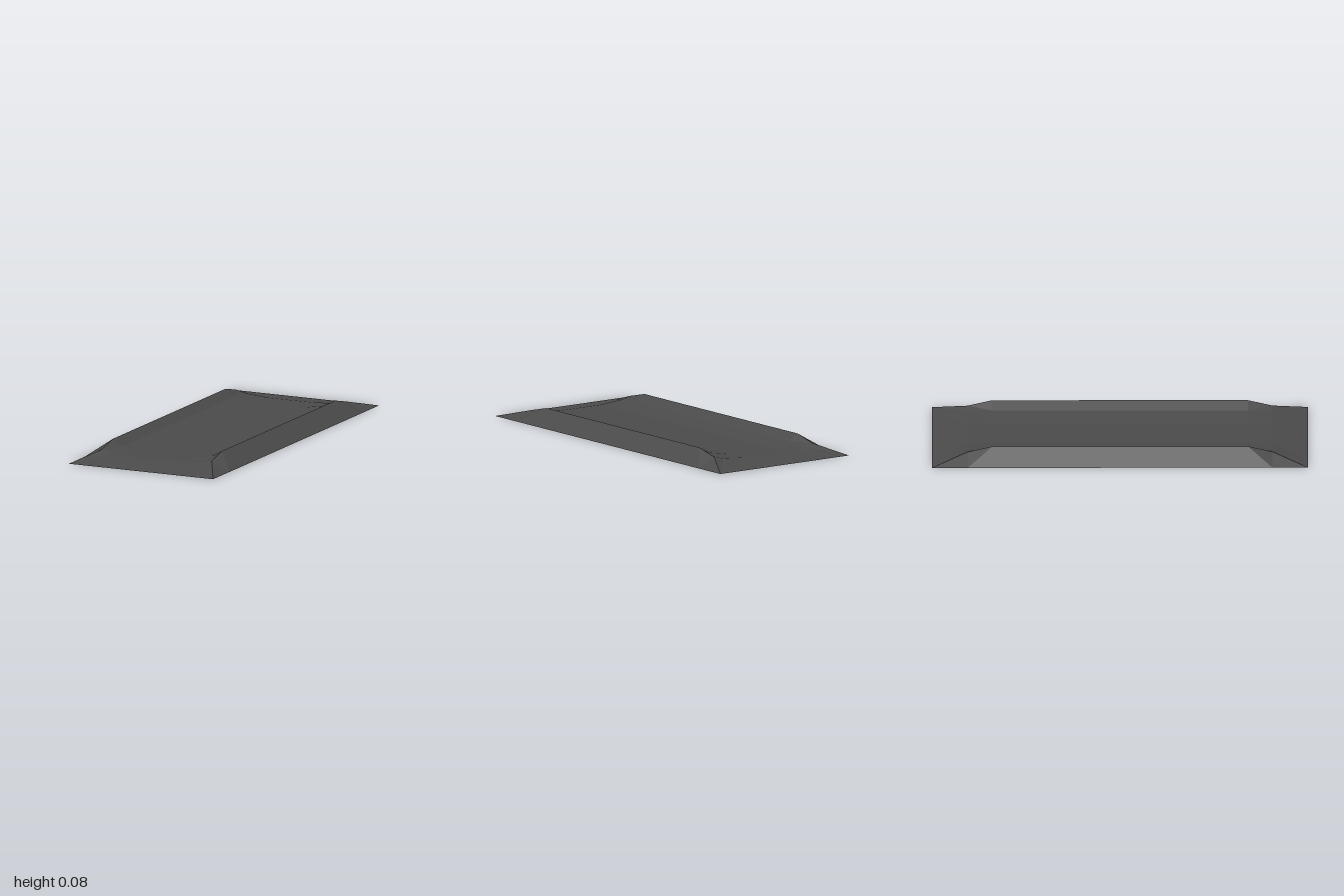
import * as THREE from 'three';

const rubber = new THREE.MeshStandardMaterial({ color: 0x4a4a4a, flatShading: true });
rubber.name = 'dark grey';

// Half cross-sections as [x, y], from the outer edge to the middle floor
const tip = [[0.427, 0], [0.427, 0], [0.35, 0], [0.18, 0]];
const shoulder = [[0.427, 0], [0.325, 0.05], [0.265, 0.036], [0.137, 0.025]];
const ridge = [[0.427, 0], [0.325, 0.081], [0.265, 0.047], [0.137, 0.025]];

const sections = [
  [-1, tip], [-0.81, shoulder], [-0.68, ridge],
  [0.68, ridge], [0.81, shoulder], [1, tip],
];

// Mirror a half section into a full row running from -x to +x
function fullRow([z, half]) {
  const left = half.map(([x, y]) => new THREE.Vector3(-x, y, z));
  const right = half.map(([x, y]) => new THREE.Vector3(x, y, z)).reverse();
  return [...left, ...right];
}

// Skin neighbouring rows, skipping triangles that collapse at the corners
function loft(rows) {
  const positions = [];
  const tri = (a, b, c) => {
    if (new THREE.Triangle(a, b, c).getArea() < 1e-7) return;
    for (const p of [a, b, c]) positions.push(p.x, p.y, p.z);
  };
  for (let i = 0; i < rows.length - 1; i++) {
    const back = rows[i], front = rows[i + 1];
    for (let j = 0; j < back.length - 1; j++) {
      // Diagonals mirror about both centre planes
      if ((i < 2) === (j < 3)) {
        tri(back[j], front[j], front[j + 1]);
        tri(back[j], front[j + 1], back[j + 1]);
      } else {
        tri(back[j], front[j], back[j + 1]);
        tri(front[j], front[j + 1], back[j + 1]);
      }
    }
  }
  const geometry = new THREE.BufferGeometry();
  geometry.setAttribute('position', new THREE.Float32BufferAttribute(positions, 3));
  geometry.computeVertexNormals();
  return geometry;
}

export function createModel() {
  const group = new THREE.Group();
  group.name = 'ridgedTray';

  // Dished top with raised side ridges and ramped ends
  const top = new THREE.Mesh(loft(sections.map(fullRow)), rubber);
  top.name = 'dishedTop';
  group.add(top);

  // Flat underside
  const underside = new THREE.Mesh(new THREE.PlaneGeometry(0.854, 2).rotateX(Math.PI / 2), rubber);
  underside.name = 'underside';
  group.add(underside);

  return group;
}
